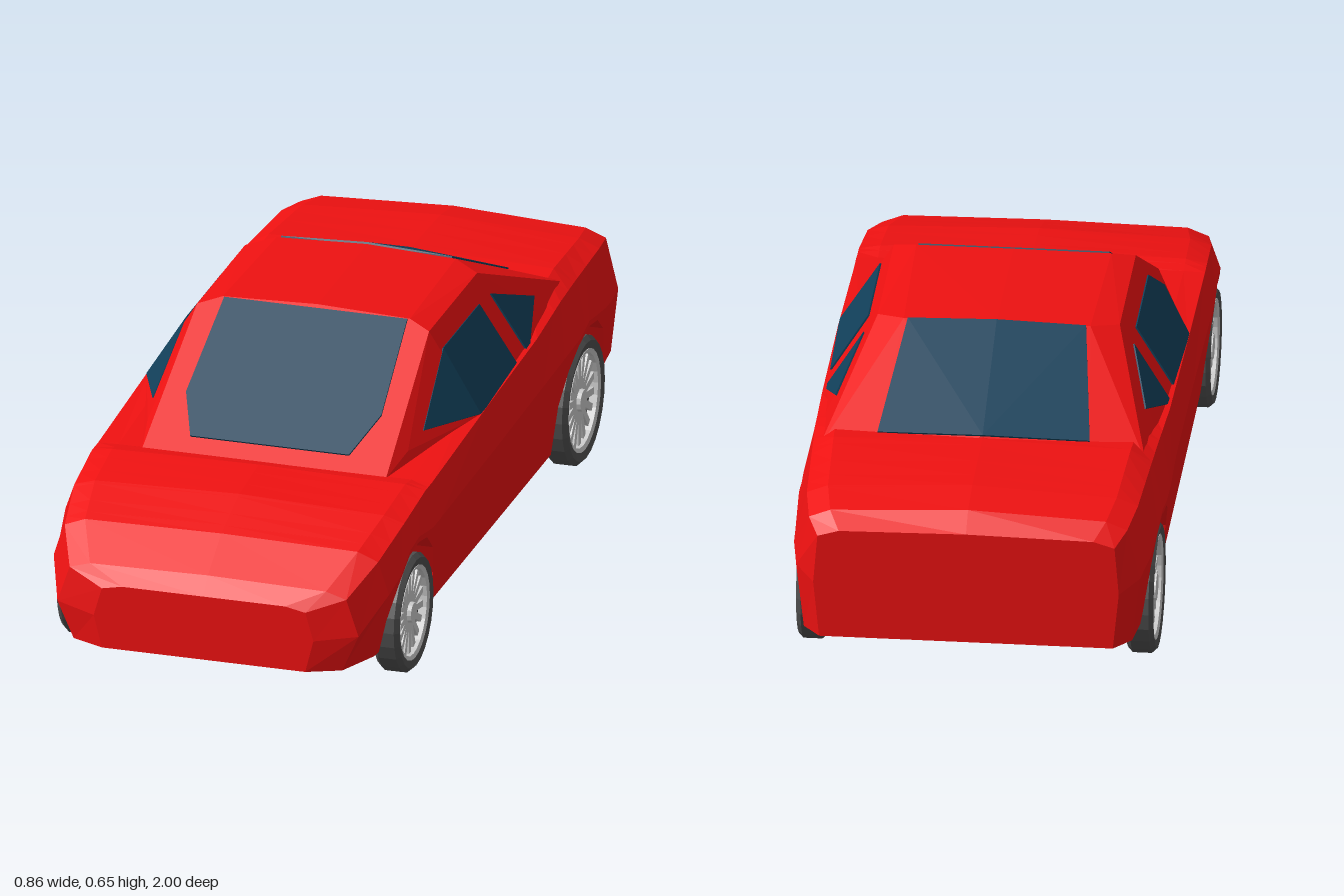
import * as THREE from 'three';
import { ConvexGeometry } from 'three/addons/geometries/ConvexGeometry.js';

const mat = (color) => new THREE.MeshStandardMaterial({ color, flatShading: true });
const red = mat(0xee1111), glassMat = mat(0x12405a), rubber = mat(0x505050), grey = mat(0xcccccc);
const V = (x, y, z) => new THREE.Vector3(x, y, z);

// Body stations: z, sill x, widest x, shoulder x, widest y, shoulder y, deck edge y, centre y
const ROWS = [
  [1.0, 0.25, 0.27, 0.25, 0.18, 0.25, 0.26, 0.26],
  [0.965, 0.33, 0.37, 0.34, 0.19, 0.28, 0.295, 0.3],
  [0.86, 0.375, 0.412, 0.385, 0.26, 0.34, 0.36, 0.365],
  [0.72, 0.39, 0.425, 0.405, 0.3, 0.385, 0.4, 0.41],
  [0.57, 0.4, 0.43, 0.41, 0.32, 0.41, 0.42, 0.425],
  [0.52, 0.4, 0.43, 0.41, 0.32, 0.41, 0.412, 0.412],
  [0.1, 0.4, 0.425, 0.412, 0.32, 0.435, 0.44, 0.44],
  [-0.3, 0.4, 0.425, 0.41, 0.33, 0.45, 0.455, 0.46],
  [-0.5, 0.4, 0.432, 0.405, 0.345, 0.465, 0.485, 0.49],
  [-0.62, 0.4, 0.43, 0.4, 0.345, 0.465, 0.495, 0.505],
  [-0.85, 0.39, 0.42, 0.39, 0.33, 0.46, 0.48, 0.497],
  [-0.95, 0.38, 0.405, 0.375, 0.32, 0.445, 0.465, 0.48],
  [-1.0, 0.34, 0.36, 0.35, 0.3, 0.42, 0.435, 0.44],
];
// Lower edge with the two wheel arches: z, y
const EDGE = [
  [1, 0.1], [0.832, 0.1], [0.83, 0.18], [0.79, 0.26], [0.73, 0.31], [0.67, 0.32], [0.61, 0.31],
  [0.55, 0.26], [0.512, 0.18], [0.51, 0.1], [-0.44, 0.1], [-0.45, 0.22], [-0.5, 0.29], [-0.57, 0.33],
  [-0.65, 0.345], [-0.73, 0.33], [-0.8, 0.28], [-0.85, 0.18], [-0.86, 0.16], [-1, 0.16],
];

// Linear lookup in a table sorted by falling z
function sample(table, z) {
  let i = 0;
  while (i < table.length - 2 && z < table[i + 1][0]) i++;
  const a = table[i], b = table[i + 1], t = (a[0] - z) / (a[0] - b[0]);
  return a.map((v, k) => v + (b[k] - v) * t);
}

function bodyRing(z) {
  const [, sill, wide, shoulder, yw, ys, yd, yc] = sample(ROWS, z);
  const yb = sample(EDGE, z)[1];
  const yWide = Math.max(yw, yb + 0.015);
  const low = sill + (wide - sill) * Math.max(0, (yb - 0.1) / (yWide - 0.1));
  const half = [[Math.min(0.34, sill * 0.85), yb], [low, yb], [wide, yWide], [shoulder, ys], [shoulder - 0.05, yd]];
  return [
    V(0, yb, z), ...half.map(([x, y]) => V(x, y, z)),
    V(0, yc, z), ...half.reverse().map(([x, y]) => V(-x, y, z)),
  ];
}

function bodyGeometry() {
  const zs = [...new Set([...ROWS, ...EDGE].map((r) => r[0]))].sort((a, b) => b - a);
  const rings = zs.map(bodyRing), n = rings[0].length, pts = [];
  for (let i = 0; i < rings.length - 1; i++) {
    for (let k = 0; k < n; k++) {
      const j = (k + 1) % n;
      const a = rings[i][k], b = rings[i][j], c = rings[i + 1][j], d = rings[i + 1][k];
      pts.push(a, d, c, a, c, b);
    }
  }
  // Nose and tail caps
  const f = rings[0], r = rings[rings.length - 1];
  for (let k = 1; k < n - 1; k++) pts.push(f[0], f[k], f[k + 1], r[0], r[k + 1], r[k]);
  const g = new THREE.BufferGeometry().setFromPoints(pts);
  g.computeVertexNormals();
  return g;
}

const mirrored = (list) => list.flatMap(([x, y, z]) => (x ? [V(x, y, z), V(-x, y, z)] : [V(x, y, z)]));
const screenZ = (y) => 0.53 - (0.42 * (y - 0.41)) / 0.24;

// Thin pane: outer points pushed slightly out and slightly in
function pane(points, normal) {
  const n = normal.clone().normalize();
  return new ConvexGeometry([
    ...points.map((p) => p.clone().addScaledVector(n, 0.004)),
    ...points.map((p) => p.clone().addScaledVector(n, -0.01)),
  ]);
}

function makeWheel(r) {
  const wheel = new THREE.Group();
  const add = (name, geo, material) => {
    const m = new THREE.Mesh(geo, material);
    m.name = name;
    wheel.add(m);
    return m;
  };
  const ring = (list) => new THREE.LatheGeometry(list.map(([x, y]) => new THREE.Vector2(x * r, y)), 24);
  add('tyre', ring([[0.78, -0.028], [0.93, -0.033], [1, -0.022], [1, 0.022], [0.93, 0.033], [0.78, 0.028], [0.78, -0.028]]), rubber);
  add('rim', ring([[0.73, -0.026], [0.8, -0.03], [0.8, 0.03], [0.73, 0.026], [0.73, -0.026]]), grey);
  add('brakeDisc', new THREE.CylinderGeometry(r * 0.75, r * 0.75, 0.012, 24), rubber);
  add('hub', new THREE.CylinderGeometry(r * 0.17, r * 0.21, 0.054, 12), grey);
  for (let i = 0; i < 18; i++) {
    const a = (i / 18) * Math.PI * 2;
    const s = add('spoke', new THREE.BoxGeometry(r * 0.63, 0.034, r * 0.11), grey);
    s.position.set(Math.cos(a) * r * 0.45, 0, -Math.sin(a) * r * 0.45);
    s.rotation.y = a;
  }
  wheel.rotation.z = -Math.PI / 2;
  return wheel;
}

export function createModel() {
  const car = new THREE.Group();
  car.name = 'car';
  const add = (name, geo, material) => {
    const m = new THREE.Mesh(geo, material);
    m.name = name;
    car.add(m);
    return m;
  };

  add('body', bodyGeometry(), red);

  // Roof, pillars and sloping rear
  add('cabin', new ConvexGeometry(mirrored([
    [0.3, 0.41, 0.53], [0.32, 0.44, 0.42], [0.41, 0.43, 0.14], [0.41, 0.43, -0.24], [0.3975, 0.45, -0.45],
    [0.285, 0.63, screenZ(0.63)], [0.23, 0.645, screenZ(0.645)], [0, 0.65, 0.11],
    [0.285, 0.63, -0.23], [0.22, 0.642, -0.27], [0, 0.65, -0.275],
    [0, 0.505, -0.61], [0.25, 0.492, -0.59], [0.385, 0.465, -0.62],
    [0.3, 0.38, 0.5], [0.39, 0.38, 0.14], [0.36, 0.4, -0.6],
  ])), red);

  // Glass
  const screen = [[0.225, 0.643], [0.24, 0.5], [0.195, 0.437]].map(([x, y]) => [x, y, screenZ(y)]);
  add('windscreen', pane(mirrored(screen), V(0, 0.42, 0.24)), glassMat);
  add('rearWindow', pane(mirrored([
    [0.21, 0.642, -0.272], [0, 0.65, -0.277], [0.25, 0.494, -0.586], [0, 0.507, -0.607],
  ]), V(0, 0.33, -0.15)), glassMat);
  const sideGlass = {
    doorWindow: [[0.33, 0.46, 0.34], [0.313, 0.585, 0.132], [0.408, 0.433, 0.14], [0.313, 0.585, -0.15], [0.408, 0.433, -0.16]],
    quarterWindow: [[0.316, 0.58, -0.23], [0.363, 0.505, -0.42], [0.407, 0.435, -0.24]],
  };
  for (const side of [1, -1]) {
    for (const [name, list] of Object.entries(sideGlass)) {
      add(name, pane(list.map(([x, y, z]) => V(x * side, y, z)), V(0.2 * side, 0.125, 0)), glassMat);
    }
  }

  // Wheel housings: side profiles (z, y) extruded across the car
  const housings = {
    frontWheelHousing: [[0.51, 0.098], [0.832, 0.098], [0.832, 0.3], [0.67, 0.34], [0.51, 0.34]],
    rearWheelHousing: [[-0.44, 0.098], [-0.8, 0.115], [-0.93, 0.158], [-0.93, 0.3], [-0.65, 0.36], [-0.44, 0.36]],
  };
  for (const [name, list] of Object.entries(housings)) {
    const shape = new THREE.Shape(list.map(([z, y]) => new THREE.Vector2(-z, y)));
    const geo = new THREE.ExtrudeGeometry(shape, { depth: 0.7, bevelEnabled: false });
    geo.rotateY(Math.PI / 2).translate(-0.35, 0, 0);
    add(name, geo, grey);
  }

  // Wheels
  for (const [end, z, r] of [['front', 0.675, 0.143], ['rear', -0.65, 0.156]]) {
    for (const side of [1, -1]) {
      const wheel = makeWheel(r);
      wheel.name = `${end}${side > 0 ? 'Left' : 'Right'}Wheel`;
      wheel.position.set(0.388 * side, r, z);
      car.add(wheel);
    }
  }
  return car;
}
